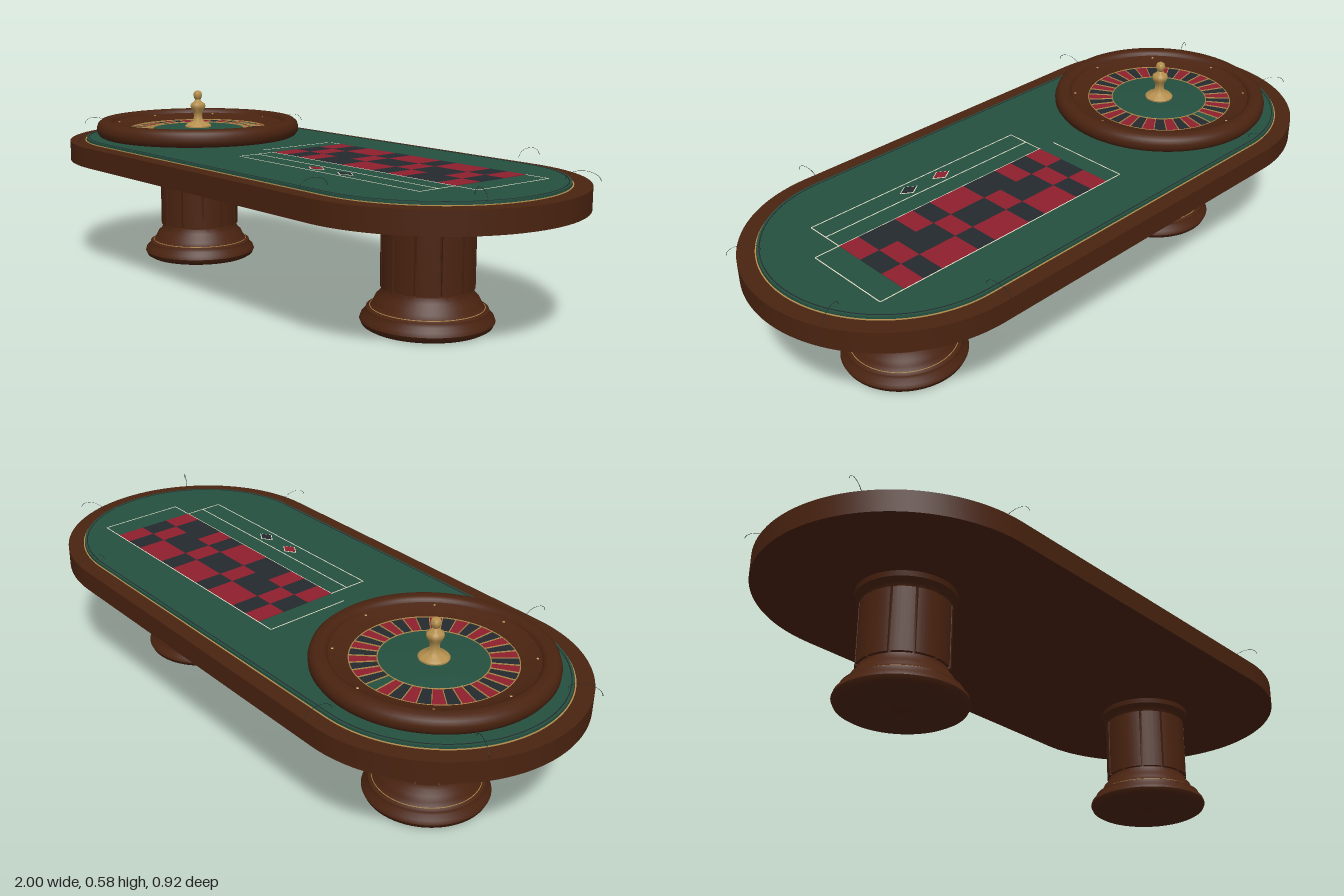
import * as THREE from 'three';
import { toCreasedNormals } from 'three/addons/utils/BufferGeometryUtils.js';

const mat = (name, color, side = THREE.FrontSide) => {
  const m = new THREE.MeshStandardMaterial({ color, side });
  m.name = name;
  return m;
};
const wood = mat('dark wood', 0x4a2310);
const felt = mat('green felt', 0x245040);
const red = mat('red', 0x8e1f2e);
const black = mat('charcoal', 0x232a2d);
const gold = mat('gold', 0xb48f4e);
const cream = mat('cream', 0xe6e0c8);

const CX = 0.563; // centre of each rounded end

function add(parent, name, geo, material, x = 0, y = 0, z = 0) {
  const m = new THREE.Mesh(geo, material);
  m.name = name;
  m.position.set(x, y, z);
  parent.add(m);
  return m;
}

const lathe = (pts, seg = 64) => toCreasedNormals(
  new THREE.LatheGeometry(pts.map(p => new THREE.Vector2(p[0], p[1])), seg), 0.7);

// Outline with two straight sides and two half-round ends
function stadium(r, Type = THREE.Shape) {
  const s = new Type();
  s.moveTo(-CX, -r);
  s.lineTo(CX, -r);
  s.absarc(CX, 0, r, -Math.PI / 2, Math.PI / 2, false);
  s.lineTo(-CX, r);
  s.absarc(-CX, 0, r, Math.PI / 2, Math.PI * 1.5, false);
  return s;
}

function slab(shape, depth) {
  const g = new THREE.ExtrudeGeometry(shape, { depth, bevelEnabled: false, curveSegments: 40 });
  return toCreasedNormals(g.rotateX(-Math.PI / 2), 0.5);
}

function band(outer, inner, depth) {
  const s = stadium(outer);
  s.holes.push(stadium(inner, THREE.Path));
  return slab(s, depth);
}

function pedestal(x) {
  const g = new THREE.Group();
  g.name = 'pedestal';
  g.position.x = x;
  // Moulded foot, core and capital in one turned profile
  add(g, 'turnedColumn', lathe([
    [0, 0], [0.172, 0], [0.184, 0.007], [0.19, 0.02], [0.186, 0.032], [0.174, 0.043], [0.172, 0.053],
    [0.16, 0.058], [0.152, 0.07], [0.145, 0.085], [0.132, 0.097], [0.128, 0.112], [0.122, 0.115],
    [0.122, 0.31], [0.126, 0.315], [0.13, 0.325], [0.145, 0.335], [0.148, 0.35]]), wood);
  add(g, 'footTrim', new THREE.TorusGeometry(0.161, 0.0015, 4, 64).rotateX(Math.PI / 2), gold, 0, 0.0575);
  // Twelve staves with narrow grooves between them
  for (let i = 0; i < 12; i++) {
    const a = i * Math.PI / 6 + 0.028, b = (i + 1) * Math.PI / 6 - 0.028;
    const s = new THREE.Shape();
    s.absarc(0, 0, 0.133, a, b, false);
    s.absarc(0, 0, 0.119, b, a, true);
    const geo = new THREE.ExtrudeGeometry(s, { depth: 0.195, bevelEnabled: false, curveSegments: 6 });
    add(g, 'stave', toCreasedNormals(geo.rotateX(-Math.PI / 2), 0.5), wood, 0, 0.115);
  }
  return g;
}

function wheel() {
  const g = new THREE.Group();
  g.name = 'wheel';
  g.position.set(-CX, 0, 0);
  add(g, 'bowl', lathe([
    [0, 0.422], [0.325, 0.422], [0.338, 0.428], [0.346, 0.44], [0.347, 0.455], [0.342, 0.47], [0.33, 0.48],
    [0.305, 0.48], [0.296, 0.475], [0.292, 0.467], [0.27, 0.459], [0.237, 0.449], [0.235, 0.445], [0, 0.445]], 80), wood);

  // Ring of pockets, green at the back, then alternating colours
  const n = 37, step = Math.PI * 2 / n;
  for (let i = 0; i < n; i++) {
    const mid = Math.PI / 2 + i * step;
    const pocket = new THREE.RingGeometry(0.155, 0.235, 3, 1, mid - step / 2, step).rotateX(-Math.PI / 2);
    add(g, 'pocket', pocket, i === 0 ? felt : i % 2 ? red : black, 0, 0.447);
    const fret = new THREE.BoxGeometry(0.08, 0.004, 0.002).translate(0.195, 0, 0);
    add(g, 'pocketDivider', fret, gold, 0, 0.448).rotation.y = mid + step / 2;
  }
  for (const r of [0.156, 0.235])
    add(g, 'pocketRing', new THREE.TorusGeometry(r, 0.002, 4, 72).rotateX(Math.PI / 2), gold, 0, 0.448);
  add(g, 'hub', lathe([[0.155, 0.447], [0.1, 0.45], [0, 0.453]]), felt);

  // Small deflectors on the bowl slope
  for (let i = 0; i < 8; i++) {
    const a = i * Math.PI / 4;
    const d = add(g, 'deflector', new THREE.OctahedronGeometry(0.005), gold,
      Math.cos(a) * 0.28, 0.464, Math.sin(a) * 0.28);
    d.scale.y = 0.6;
  }

  add(g, 'spindle', lathe([
    [0.045, 0.448], [0.045, 0.456], [0.038, 0.463], [0.022, 0.469], [0.016, 0.478], [0.014, 0.49], [0.016, 0.503],
    [0.024, 0.516], [0.026, 0.524], [0.024, 0.531], [0.013, 0.539], [0.009, 0.546], [0.013, 0.552],
    [0.0155, 0.562], [0.012, 0.572], [0.006, 0.576], [0, 0.577]], 32), gold);
  return g;
}

function layout() {
  const g = new THREE.Group();
  g.name = 'bettingLayout';
  g.position.y = 0.4245;
  const x0 = -0.06, x1 = 0.715, z0 = -0.22, z1 = 0.058, cw = (x1 - x0) / 12, ch = (z1 - z0) / 3;
  // Each row from the back; R marks red squares
  ['RBRRBRRBRRBR', 'BRBBRBBRBBRB', 'RBRBBRRBRBBR'].forEach((row, j) => {
    [...row].forEach((c, i) => add(g, 'numberSquare', new THREE.BoxGeometry(cw, 0.002, ch),
      c === 'R' ? red : black, x0 + (i + 0.5) * cw, 0, z0 + (j + 0.5) * ch));
  });
  // Thin printed lines
  const line = (xa, xb, za, zb) => add(g, 'printedLine',
    new THREE.BoxGeometry(Math.max(xb - xa, 0.003), 0.001, Math.max(zb - za, 0.003)), cream,
    (xa + xb) / 2, -0.0003, (za + zb) / 2);
  line(-0.12, 0.795, z0 - 0.002, z0 - 0.002);
  line(x0, 0.795, z1 + 0.002, z1 + 0.002);
  line(0.795, 0.795, z0, z1);
  line(-0.12, -0.12, z0, z1);
  for (const z of [0.122, 0.19]) line(x0, x1, z, z);
  for (const x of [x0, x1]) line(x, x, z1, 0.19);
  // Red and dark diamonds for the outside bets
  [[0.265, red], [0.39, black]].forEach(([x, m]) => {
    for (const [size, material, y] of [[0.034, cream, 0], [0.029, m, 0.0008]]) {
      const d = add(g, 'diamond', new THREE.CylinderGeometry(size, size, 0.001, 4), material, x, y, 0.156);
      d.scale.z = 0.65;
    }
  });
  return g;
}

// Fine wire hoop straddling the table edge
function hoop(x, z, angle) {
  const geo = new THREE.TorusGeometry(0.046, 0.0008, 4, 24, Math.PI);
  geo.scale(1, 0.55, 1);
  const h = new THREE.Mesh(geo, black);
  h.name = 'wireHoop';
  h.position.set(x, 0.44, z);
  h.rotation.y = angle;
  return h;
}

export function createModel() {
  const model = new THREE.Group();
  model.name = 'rouletteTable';

  add(model, 'tableTop', slab(stadium(0.437), 0.065), wood, 0, 0.35);
  add(model, 'feltSurface', slab(stadium(0.382), 0.009), felt, 0, 0.415);
  add(model, 'goldInlay', band(0.387, 0.3835, 0.002), gold, 0, 0.415);
  add(model, 'darkInlay', band(0.376, 0.373, 0.0008), black, 0, 0.424);

  for (const s of [-1, 1]) {
    model.add(pedestal(s * CX));
    for (const t of [-1, 1]) {
      model.add(hoop(s * CX, t * 0.415, Math.PI / 2));
      const a = 0.49;
      model.add(hoop(s * (CX + 0.415 * Math.cos(a)), t * 0.415 * Math.sin(a), -s * t * a));
    }
  }
  model.add(wheel(), layout());
  return model;
}
